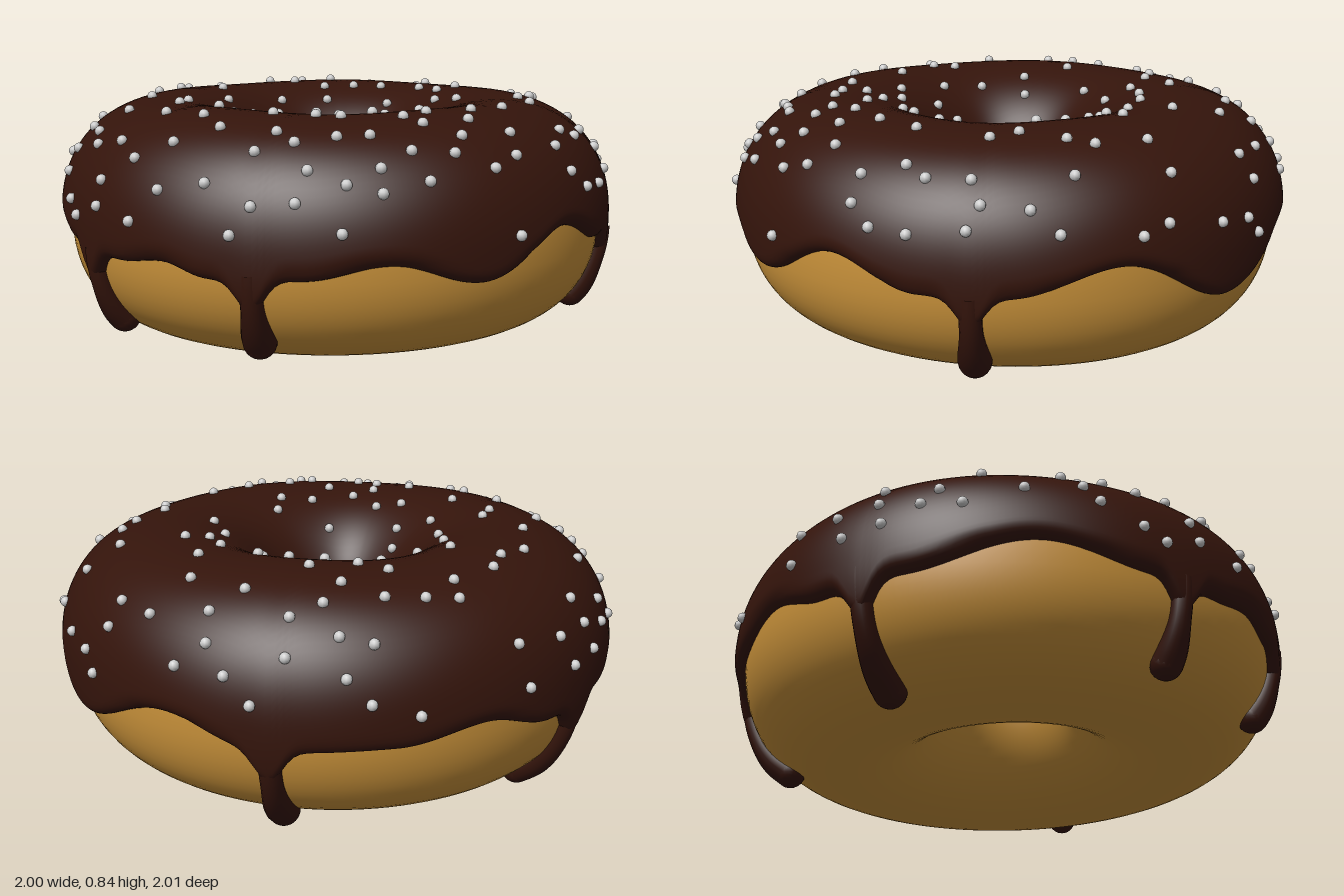
import * as THREE from 'three';

const TAU = Math.PI * 2, RAD = Math.PI / 180;
const RING = 0.58, HALF_W = 0.376, MID_Y = 0.4, HALF_H = 0.373, OUTER_POW = 2.3;

// Rounded ring section: [radius, height] at section angle phi (0 = outside, PI = hole)
function section(phi) {
  const c = Math.cos(phi), s = Math.sin(phi), e = 2 / (c > 0 ? OUTER_POW : 2);
  return [RING + HALF_W * Math.sign(c) * Math.abs(c) ** e,
    MID_Y + HALF_H * Math.sign(s) * Math.abs(s) ** e];
}

// Section angle on the outside of the ring for a given height
function phiAtHeight(y) {
  const s = (y - MID_Y) / HALF_H;
  return Math.asin(Math.sign(s) * Math.abs(s) ** (OUTER_POW / 2));
}

// Point on the ring, pushed out along the section normal; the underside sags to the back
function surfacePoint(theta, phi, offset = 0) {
  const [r, y] = section(phi), [r0, y0] = section(phi - 0.01), [r1, y1] = section(phi + 0.01);
  const len = Math.hypot(r1 - r0, y1 - y0);
  const R = r + offset * (y1 - y0) / len;
  const sag = 0.016 * Math.sin(theta) * Math.max(0, -Math.sin(phi));
  return new THREE.Vector3(R * Math.cos(theta), y - offset * (r1 - r0) / len + sag, R * Math.sin(theta));
}

// Smooth skin wrapped around the ring; fn(theta, t) gives a point, t running across the section
function ringSkin(around, across, closed, fn) {
  const pos = [], index = [], rows = closed ? across : across + 1;
  for (let i = 0; i < around; i++) {
    for (let j = 0; j < rows; j++) pos.push(...fn(i / around * TAU, j / across).toArray());
    for (let j = 0; j < across; j++) {
      const n = (i + 1) % around, k = (j + 1) % rows;
      const a = i * rows + j, b = i * rows + k, c = n * rows + j, d = n * rows + k;
      index.push(a, b, c, c, b, d);
    }
  }
  const g = new THREE.BufferGeometry();
  g.setAttribute('position', new THREE.Float32BufferAttribute(pos, 3));
  g.setIndex(index);
  g.computeVertexNormals();
  return g;
}

// Wavy lower rim of the icing: [angle in degrees, height]
const RIM = [[9, 0.45], [30, 0.37], [46, 0.37], [64, 0.46], [85, 0.33], [103, 0.405], [119, 0.36],
  [136, 0.35], [146, 0.385], [158, 0.36], [174, 0.37], [195, 0.43], [220, 0.34], [238, 0.33],
  [254, 0.39], [272, 0.35], [297, 0.34], [316, 0.41], [343, 0.28]];
// Drips: [angle in degrees, height of tip]
const DRIPS = [[36.5, 0.075], [128, 0.085], [167, 0.075], [229, 0.01], [295, 0.02]];

function rimHeight(theta) {
  let deg = theta / RAD;
  if (deg < RIM[0][0]) deg += 360;
  const i = RIM.findLastIndex(p => p[0] <= deg), a = RIM[i];
  const b = RIM[i + 1] || [RIM[0][0] + 360, RIM[0][1]];
  const u = (deg - a[0]) / (b[0] - a[0]);
  let y = a[1] + (b[1] - a[1]) * (1 - Math.cos(Math.PI * u)) / 2;
  // flare into each drip
  for (const [at] of DRIPS) {
    const d = (deg - at + 540) % 360 - 180;
    y -= 0.1 * Math.exp(-((d / 3.4) ** 2));
  }
  return y;
}

const icingThickness = theta => 0.043 + 0.003 * Math.sin(5 * theta + 1);

// Run of icing that swells towards its end
function dripRun(path) {
  const curve = new THREE.CatmullRomCurve3(path), steps = 24, sides = 16;
  const g = new THREE.TubeGeometry(curve, steps, 0.036, sides), pos = g.attributes.position;
  const p = new THREE.Vector3();
  for (let i = 0; i <= steps; i++) {
    const mid = curve.getPointAt(i / steps);
    const swell = 1 + 0.5 * THREE.MathUtils.smoothstep(i / steps, 0.4, 1);
    for (let j = i * (sides + 1); j < (i + 1) * (sides + 1); j++) {
      p.fromBufferAttribute(pos, j).sub(mid).multiplyScalar(swell).add(mid);
      pos.setXYZ(j, p.x, p.y, p.z);
    }
  }
  return g;
}

function seeded(seed) {
  return () => (seed = (seed * 16807) % 2147483647) / 2147483647;
}

export function createModel() {
  const model = new THREE.Group();
  const doughMat = new THREE.MeshStandardMaterial({ color: 0xc8913a });
  const icingMat = new THREE.MeshStandardMaterial({ color: 0x34140b });
  const sprinkleMat = new THREE.MeshStandardMaterial({ color: 0xcccccc });
  const add = (parent, name, geometry, material) => {
    const mesh = new THREE.Mesh(geometry, material);
    mesh.name = name;
    parent.add(mesh);
    return mesh;
  };

  // Dough ring
  add(model, 'dough', ringSkin(128, 64, true, (th, t) => surfacePoint(th, t * TAU)), doughMat);

  // Icing cap with rounded lips at both rims
  add(model, 'icing', ringSkin(300, 60, false, (th, t) => {
    const from = phiAtHeight(rimHeight(th));
    const to = Math.PI + Math.asin(0.08 + 0.14 * Math.cos(th - 124 * RAD));
    const u = (1 - Math.cos(Math.PI * t)) / 2;
    const lip = Math.min(1, Math.min(u, 1 - u) * (to - from) * 0.4 / 0.045);
    const offset = icingThickness(th) * Math.sqrt(1 - (1 - lip) ** 2) - 0.004;
    return surfacePoint(th, from + (to - from) * u, offset);
  }), icingMat);

  // Drips: a run down the side ending in a round drop
  const drips = new THREE.Group();
  drips.name = 'drips';
  model.add(drips);
  for (const [deg, tip] of DRIPS) {
    const path = [];
    for (let i = 0; i <= 8; i++) {
      path.push(surfacePoint(deg * RAD, phiAtHeight(0.38 + (tip + 0.054 - 0.38) * i / 8), 0.006));
    }
    add(drips, 'dripRun', dripRun(path), icingMat);
    add(drips, 'dripDrop', new THREE.SphereGeometry(0.054, 20, 14), icingMat).position.copy(path[8]);
  }

  // Sprinkles scattered evenly over the icing
  const sprinkles = new THREE.Group();
  sprinkles.name = 'sprinkles';
  model.add(sprinkles);
  const random = seeded(4711), bead = new THREE.SphereGeometry(0.018, 10, 8), placed = [];
  for (let tries = 0; tries < 8000 && placed.length < 155; tries++) {
    const th = random() * TAU, phi = 0.1 + random() * 2.75;
    if (random() > section(phi)[0] || phi < phiAtHeight(rimHeight(th)) + 0.2) continue;
    const p = surfacePoint(th, phi, icingThickness(th));
    if (placed.some(q => q.distanceTo(p) < 0.08)) continue;
    placed.push(p);
    add(sprinkles, 'sprinkle', bead, sprinkleMat).position.copy(p);
  }
  return model;
}
